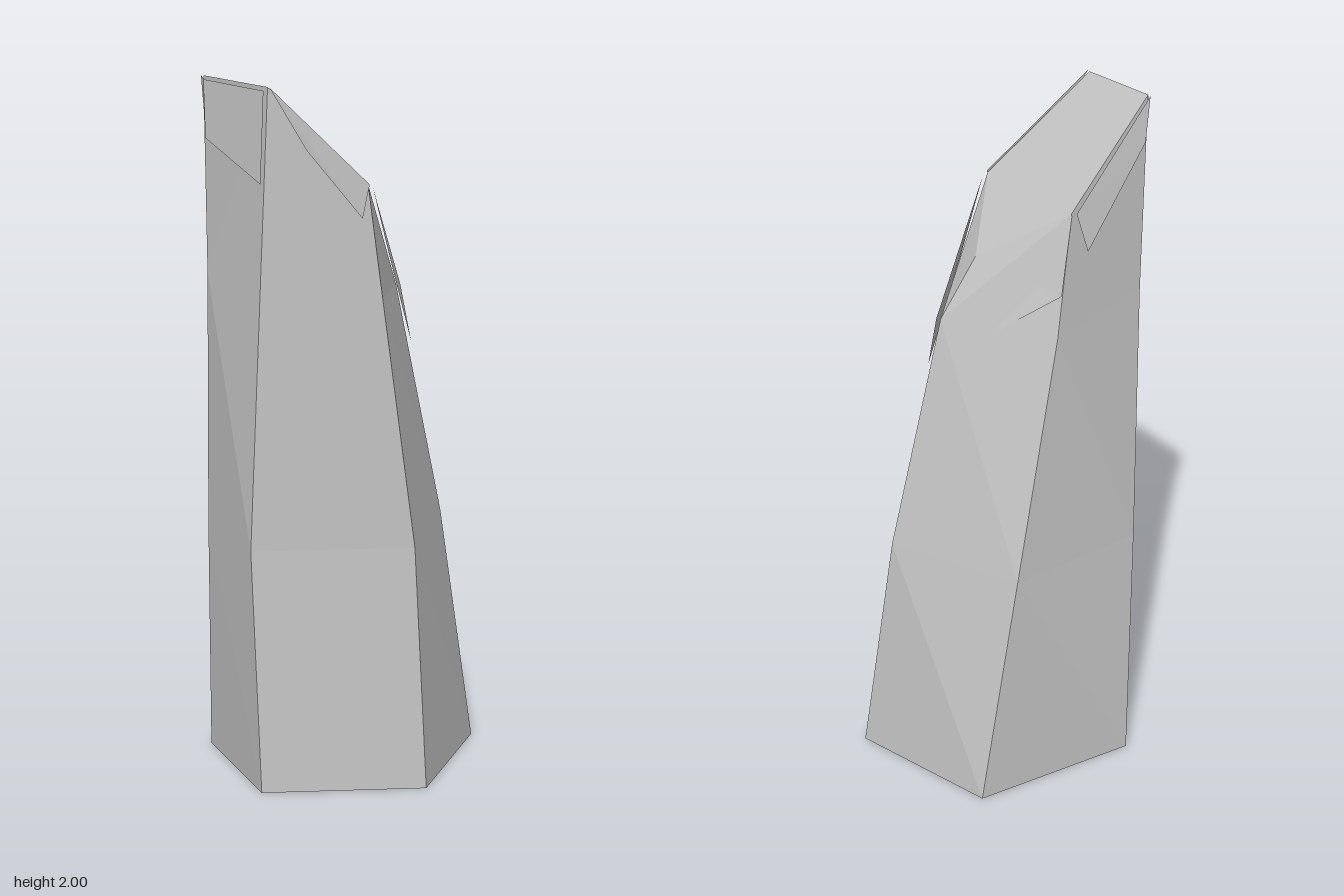
import * as THREE from 'three';

// Five corner ridges of the rock, counterclockwise from the front, each from base to tip
const ridges = [
  [[0.003, 0, 0.357], [-0.01, 0.7, 0.315], [-0.065, 1.4, 0.235], [-0.078, 1.71, 0.185]],
  [[0.403, 0, 0.073], [0.328, 0.7, 0.008], [0.175, 1.39, -0.015], [0.078, 1.57, -0.04]],
  [[0.228, 0, -0.36], [0.11, 0.7, -0.352], [-0.04, 1.4, -0.295], [-0.1, 1.74, -0.255]],
  [[-0.277, 0, -0.33], [-0.315, 0.7, -0.273], [-0.35, 1.45, -0.207], [-0.38, 2, -0.17]],
  [[-0.395, 0, 0.11], [-0.405, 0.7, 0.08], [-0.365, 1.98, 0.12], [-0.365, 1.98, 0.12]],
];

// Thin chips lying just off each side below the slanted top
const chips = [
  [[-0.065, 1.7, 0.19], [0.03, 1.48, 0.15], [0.188, 1.23, 0.04], [0.183, 1.39, -0.005]],
  [[0.078, 1.565, -0.043], [0.1, 1.36, -0.123], [-0.055, 1.52, -0.287], [-0.1, 1.735, -0.257]],
  [[-0.11, 1.74, -0.265], [-0.14, 1.63, -0.277], [-0.355, 1.88, -0.205], [-0.38, 2, -0.182]],
  [[-0.39, 1.99, -0.155], [-0.392, 1.83, -0.145], [-0.38, 1.72, 0.105], [-0.375, 1.97, 0.115]],
  [[-0.37, 1.98, 0.135], [-0.27, 1.81, 0.165], [-0.115, 1.62, 0.21], [-0.08, 1.71, 0.195]],
];

// Unshared triangles keep every facet flat
function facets(triangles) {
  const geometry = new THREE.BufferGeometry();
  geometry.setAttribute('position', new THREE.Float32BufferAttribute(triangles.flat(2), 3));
  geometry.computeVertexNormals();
  return geometry;
}

// Fan over a convex outline
const fan = (p) => p.slice(2).map((q, i) => [p[0], p[i + 1], q]);

export function createModel() {
  const group = new THREE.Group();
  group.name = 'rockPillar';
  const stone = new THREE.MeshStandardMaterial({ color: 0xc5c5c5, flatShading: true, side: THREE.DoubleSide });
  stone.name = 'stone grey';

  const add = (name, triangles) => {
    const mesh = new THREE.Mesh(facets(triangles), stone);
    mesh.name = name;
    group.add(mesh);
  };

  // Side facets between neighbouring ridges
  const sides = [];
  ridges.forEach((a, i) => {
    const b = ridges[(i + 1) % 5];
    for (let k = 0; k < 3; k++) {
      if (i === 1 && k === 2) {
        sides.push([a[k], b[k], b[k + 1]], [a[k], b[k + 1], a[k + 1]]);
      } else {
        sides.push([a[k], b[k], a[k + 1]], [b[k], b[k + 1], a[k + 1]]);
      }
    }
  });
  // Drop triangles that collapse where a ridge skips a level
  const same = (p, q) => p.every((v, i) => v === q[i]);
  add('rockSides', sides.filter(([p, q, r]) => !same(p, q) && !same(q, r) && !same(p, r)));

  // Slanted top and flat base
  add('slantedTop', fan(ridges.map((r) => r[3])));
  add('base', fan(ridges.map((r) => r[0]).reverse()));

  // Chipped edges
  chips.forEach((c, i) => add(`chip${i + 1}`, fan(c)));

  return group;
}
